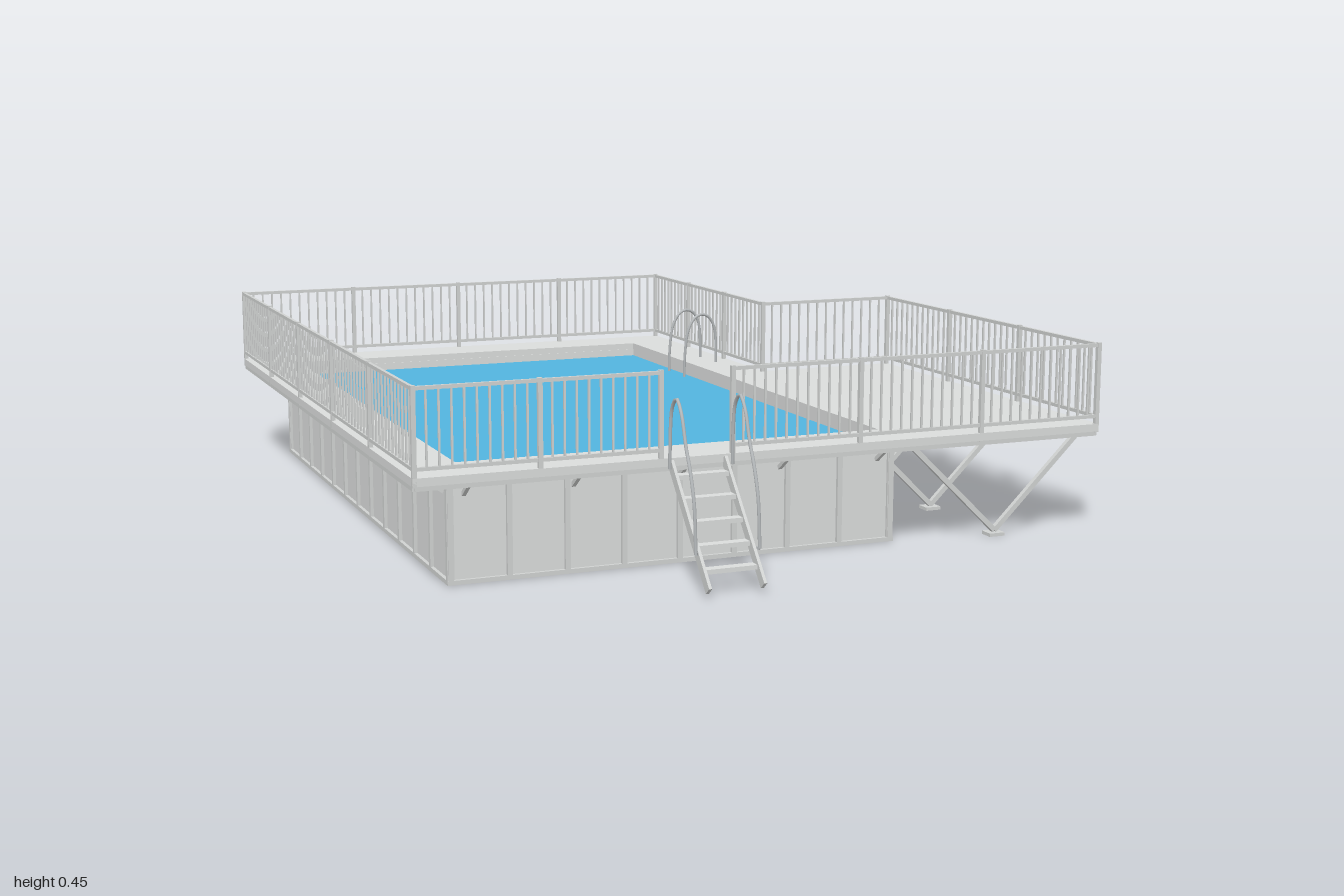
import * as THREE from 'three';
import { mergeGeometries } from 'three/addons/utils/BufferGeometryUtils.js';

const V = (x, y, z) => new THREE.Vector3(x, y, z);
const mat = (name, color) => {
  const m = new THREE.MeshStandardMaterial({ color });
  m.name = name;
  return m;
};

// Box given by its minimum and maximum corners
const box = (x0, y0, z0, x1, y1, z1) =>
  new THREE.BoxGeometry(x1 - x0, y1 - y0, z1 - z0).translate((x0 + x1) / 2, (y0 + y1) / 2, (z0 + z1) / 2);

// Straight square bar between two points
function bar(a, b, w, h = w) {
  const m = new THREE.Matrix4().lookAt(b, a, V(0, 1, 0));
  m.setPosition(a.clone().add(b).multiplyScalar(0.5));
  return new THREE.BoxGeometry(w, h, a.distanceTo(b)).applyMatrix4(m);
}

const tube = (points, r) => new THREE.TubeGeometry(new THREE.CatmullRomCurve3(points), 32, r, 8);

export function createModel() {
  const group = new THREE.Group();
  const deckGrey = mat('deck grey', 0xdadcdb);
  const frameGrey = mat('frame grey', 0xd0d2d1);
  const tubeSteel = mat('tube steel', 0xb4b8ba);
  const waterBlue = mat('water blue', 0x52b4de);
  const floorBlue = mat('floor blue', 0x2670b0);
  const add = (name, material, ...geos) => {
    const mesh = new THREE.Mesh(geos.length > 1 ? mergeGeometries(geos) : geos[0], material);
    mesh.name = name;
    group.add(mesh);
  };

  // Deck slab with the pool opening
  const outline = [[-0.83, -1], [0.445, -1], [0.445, -0.23], [0.83, -0.23], [0.83, 0.79], [-0.83, 0.79]];
  const shape = new THREE.Shape(outline.map(([x, z]) => new THREE.Vector2(x, z)));
  shape.holes.push(new THREE.Path(
    [[-0.7, -0.868], [-0.7, 0.658], [0.315, 0.658], [0.315, -0.868]].map(([x, z]) => new THREE.Vector2(x, z))));
  add('deck', deckGrey, new THREE.ExtrudeGeometry(shape, { depth: 0.018, bevelEnabled: false })
    .rotateX(Math.PI / 2).translate(0, 0.26, 0));

  // Fascia beam under the deck edge
  add('deckFascia', frameGrey, ...outline.map(([x, z], i) => {
    const [x2, z2] = outline[(i + 1) % outline.length];
    const inset = (px, pz) => V(px > 0 ? px - 0.006 : px + 0.006, 0.242, pz > 0 ? pz - 0.006 : pz + 0.006);
    return bar(inset(x, z), inset(x2, z2), 0.01, 0.02);
  }));

  // Pool walls
  const X0 = -0.722, X1 = 0.335, Z0 = -0.886, Z1 = 0.682, T = 0.02, H = 0.243;
  add('poolWalls', deckGrey,
    box(X0, 0.004, Z0, X0 + T, H, Z1), box(X1 - T, 0.004, Z0, X1, H, Z1),
    box(X0, 0.004, Z0, X1, H, Z0 + T), box(X0, 0.004, Z1 - T, X1, H, Z1));

  // Ribs and edge rails that divide the walls into panels
  const ribs = [], e = 0.008, w = 0.006;
  for (let i = 0; i <= 8; i++) {
    const x = X0 + (X1 - X0) * i / 8;
    for (const z of [Z0, Z1]) ribs.push(box(x - w, 0, z - e, x + w, H, z + e));
  }
  for (let i = 0; i <= 12; i++) {
    const z = Z0 + (Z1 - Z0) * i / 12;
    for (const x of [X0, X1]) ribs.push(box(x - e, 0, z - w, x + e, H, z + w));
  }
  for (const y of [0, 0.225]) {
    for (const z of [Z0, Z1]) ribs.push(box(X0 - e, y, z - e, X1 + e, y + 0.01, z + e));
    for (const x of [X0, X1]) ribs.push(box(x - e, y, Z0 - e, x + e, y + 0.01, Z1 + e));
  }
  add('wallRibs', frameGrey, ...ribs);

  // Water and floor
  add('water', waterBlue, box(X0 + T, 0.215, Z0 + T, X1 - T, 0.224, Z1 - T));
  add('poolFloor', floorBlue, box(X0, 0.001, Z0, X1, 0.009, Z1));

  // Brackets that carry the overhanging walkway
  const brackets = [];
  const bracket = (x, z, dx, dz) => brackets.push(
    bar(V(x, 0.195, z), V(x + dx * 0.06, 0.238, z + dz * 0.06), 0.009),
    bar(V(x, 0.238, z), V(x + dx * 0.09, 0.238, z + dz * 0.09), 0.01));
  for (let i = 0; i < 5; i++) {
    const x = -0.69 + i * 0.2475;
    bracket(x, Z1, 0, 1);
    bracket(x, Z0, 0, -1);
  }
  for (let i = 0; i < 7; i++) {
    const z = -0.85 + i * 0.248;
    bracket(X0, z, -1, 0);
    if (z < -0.25) bracket(X1, z, 1, 0);
  }
  add('walkwayBrackets', frameGrey, ...brackets);

  // V-shaped supports and joists under the wide terrace
  const supports = [], joists = [], bays = [-0.165, 0.135, 0.43, 0.725];
  bays.forEach((z, i) => {
    for (const x of [0.36, 0.82]) supports.push(bar(V(x, 0.235, z), V(0.592, 0.012, z), 0.012));
    supports.push(box(0.572, 0, z - 0.018, 0.612, 0.008, z + 0.018));
    joists.push(box(0.34, 0.228, z - 0.01, 0.822, 0.243, z + 0.01));
    if (i < 3) {
      const zn = bays[i + 1], zj = (z + zn) / 2;
      joists.push(bar(V(0.35, 0.236, z), V(0.81, 0.236, zn), 0.012));
      joists.push(box(0.34, 0.232, zj - 0.006, 0.822, 0.243, zj + 0.006));
    }
  });
  add('terraceSupports', frameGrey, ...supports);
  add('terraceJoists', frameGrey, ...joists);

  // Railing runs: start, end and number of bays
  const L = -0.825, R = 0.825, B = -0.995, F = 0.785, N = 0.44, M = -0.225;
  const runs = [
    [L, B, N, B, 4], [N, B, N, M, 3], [N, M, R, M, 1], [R, M, R, F, 3],
    [R, F, -0.112, F, 3], [-0.28, F, L, F, 2], [L, F, L, B, 5],
  ];
  const posts = [], rails = [], balusters = [];
  for (const [x0, z0, x1, z1, n] of runs) {
    const a = V(x0, 0, z0), b = V(x1, 0, z1);
    const upright = (t, y0, y1, r) => {
      const p = a.clone().lerp(b, t);
      return box(p.x - r, y0, p.z - r, p.x + r, y1, p.z + r);
    };
    for (const y of [0.278, 0.446]) {
      rails.push(bar(a.clone().setY(y), b.clone().setY(y), 0.008));
    }
    const per = Math.round(a.distanceTo(b) / n / 0.027);
    for (let i = 0; i <= n * per; i++) {
      const t = i / (n * per);
      if (i % per === 0) posts.push(upright(t, 0.24, 0.452, 0.005));
      else balusters.push(upright(t, 0.278, 0.445, 0.0022));
    }
  }
  add('railingPosts', frameGrey, ...posts);
  add('railingRails', frameGrey, ...rails);
  add('railingBalusters', frameGrey, ...balusters);

  // Entry steps at the front
  const stringers = [], treads = [], handrails = [];
  for (const x of [-0.258, -0.132]) {
    stringers.push(bar(V(x, 0.25, 0.788), V(x, 0.016, 0.993), 0.007, 0.022));
  }
  for (let i = 0; i < 5; i++) {
    const y = 0.05 + i * 0.043, z = 0.955 - i * 0.037;
    treads.push(box(-0.256, y - 0.005, z - 0.012, -0.134, y + 0.005, z + 0.012));
  }
  const hoop = [[0.085, 0.947], [0.19, 0.937], [0.26, 0.914], [0.303, 0.893], [0.37, 0.868],
    [0.398, 0.842], [0.375, 0.818], [0.33, 0.809], [0.24, 0.806]];
  for (const x of [-0.268, -0.121]) {
    handrails.push(tube(hoop.map(([y, z]) => V(x, y, z)), 0.004));
    handrails.push(bar(V(x, 0.085, 0.948), V(x < -0.2 ? -0.258 : -0.132, 0.085, 0.93), 0.006));
  }
  add('stepStringers', frameGrey, ...stringers);
  add('stepTreads', deckGrey, ...treads);
  add('stepHandrails', tubeSteel, ...handrails);

  // Grab rails of the ladder into the water
  const grab = [[0.295, 0.2], [0.297, 0.29], [0.307, 0.355], [0.327, 0.389], [0.349, 0.398],
    [0.371, 0.388], [0.387, 0.355], [0.392, 0.25]];
  add('poolLadderRails', tubeSteel,
    ...[-0.54, -0.43].map(z => tube(grab.map(([x, y]) => V(x, y, z)), 0.004)));

  return group;
}
